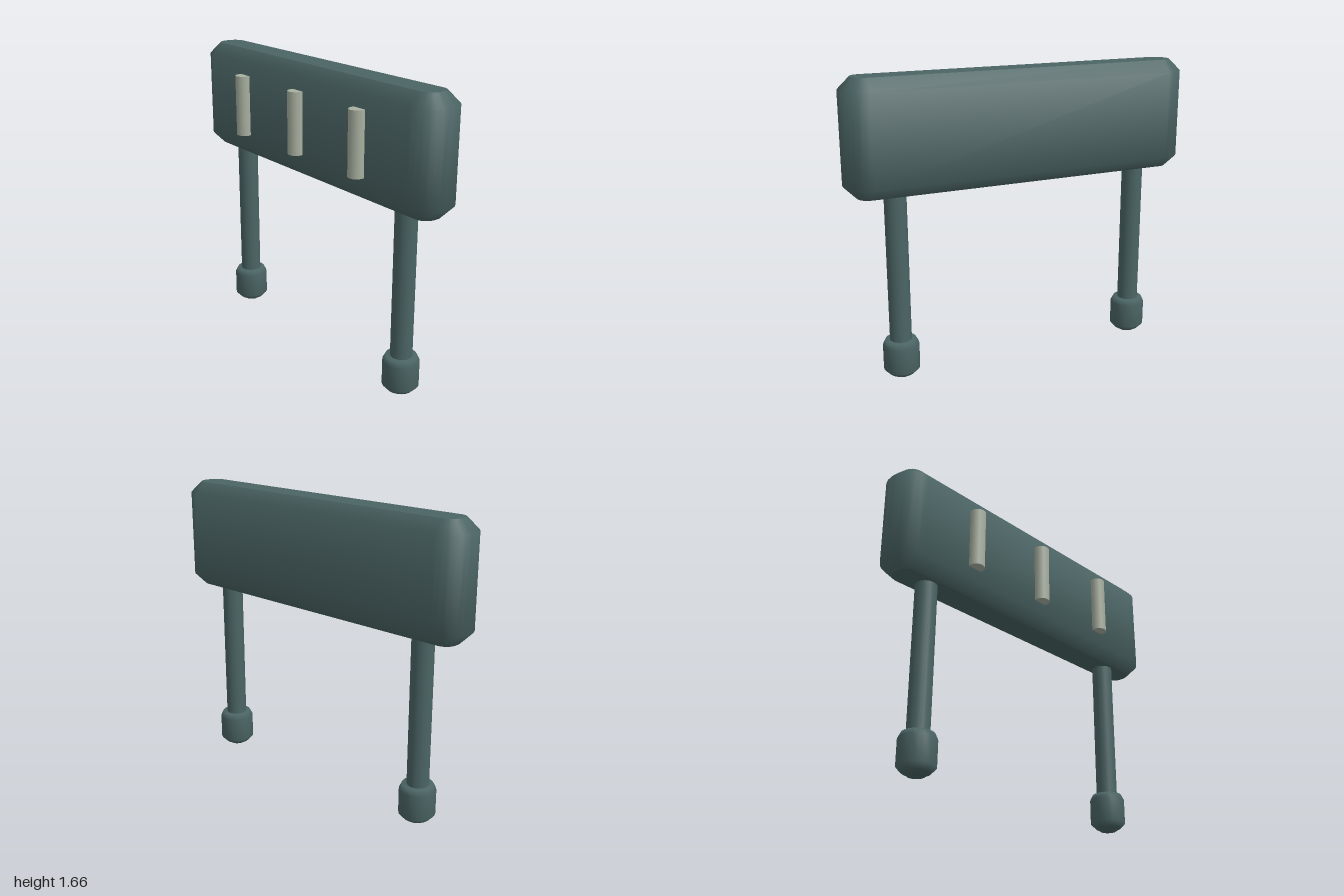
import * as THREE from 'three';

const frameGreen = new THREE.MeshStandardMaterial({ color: 0x4b6464 });
const paleGrey = new THREE.MeshStandardMaterial({ color: 0xa8b0a0 });
frameGreen.name = 'frameGreen';
paleGrey.name = 'paleGrey';

function add(parent, name, geometry, material, x, y, z) {
  const mesh = new THREE.Mesh(geometry, material);
  mesh.name = name;
  mesh.position.set(x, y, z);
  parent.add(mesh);
  return mesh;
}

// Rounded-rectangle block with bevelled top and bottom; sides smooth, caps flat
function bevelledBlock(halfX, halfZ, radius, bottom, top, bevel) {
  const outline = [];
  const steps = 6;
  [[1, 1], [-1, 1], [-1, -1], [1, -1]].forEach(([sx, sz], corner) => {
    for (let k = 0; k <= steps; k++) {
      const a = (corner + k / steps) * Math.PI / 2;
      outline.push({ cx: sx * (halfX - radius), cz: sz * (halfZ - radius), nx: Math.cos(a), nz: Math.sin(a) });
    }
  });
  const n = outline.length;
  const positions = [], normals = [], index = [];

  // Each ring: height, inset, upward tilt of the normal
  const rings = [
    [bottom, bevel, -0.707], [bottom + bevel, 0, -0.38],
    [top - bevel, 0, 0.38], [top, bevel, 0.707],
  ];
  const ring = (y, inset, tilt) => {
    const flat = Math.sqrt(1 - tilt * tilt);
    for (const p of outline) {
      positions.push(p.cx + p.nx * (radius - inset), y, p.cz + p.nz * (radius - inset));
      normals.push(p.nx * flat, tilt, p.nz * flat);
    }
  };
  rings.forEach((r) => ring(...r));
  for (let r = 0; r < rings.length - 1; r++) {
    for (let i = 0; i < n; i++) {
      const a = r * n + i, b = r * n + (i + 1) % n;
      index.push(a, a + n, b, b, a + n, b + n);
    }
  }

  // Flat caps
  for (const [y, dir] of [[bottom, -1], [top, 1]]) {
    const start = positions.length / 3;
    ring(y, bevel, dir);
    positions.push(0, y, 0);
    normals.push(0, dir, 0);
    for (let i = 0; i < n; i++) {
      const a = start + i, b = start + (i + 1) % n;
      if (dir > 0) index.push(start + n, b, a);
      else index.push(start + n, a, b);
    }
  }
  const g = new THREE.BufferGeometry();
  g.setAttribute('position', new THREE.Float32BufferAttribute(positions, 3));
  g.setAttribute('normal', new THREE.Float32BufferAttribute(normals, 3));
  g.setIndex(index);
  return g;
}

export function createModel() {
  const model = new THREE.Group();
  model.name = 'postMountedPanel';
  const z = -0.03;

  // Main panel
  add(model, 'panel', bevelledBlock(1, 0.14, 0.13, 1.04, 1.665, 0.065), frameGreen, 0, 0, z);

  // Vertical bars set into the front face
  const bar = new THREE.CylinderGeometry(0.046, 0.046, 0.35, 12);
  for (const x of [-0.517, 0, 0.517]) add(model, 'frontBar', bar, paleGrey, x, 1.355, 0.124);

  // Posts and their bulbous feet
  const post = new THREE.CylinderGeometry(0.06, 0.06, 0.88, 20);
  const footProfile = [
    [0, 0], [0.045, 0], [0.06, 0.012], [0.072, 0.016], [0.1, 0.045],
    [0.1, 0.185], [0.085, 0.215], [0, 0.215],
  ].map(([r, y]) => new THREE.Vector2(r, y));
  const foot = new THREE.LatheGeometry(footProfile, 20);
  for (const side of [-1, 1]) {
    const leg = new THREE.Group();
    leg.name = side > 0 ? 'leftLeg' : 'rightLeg';
    leg.position.set(side * 0.73, 0, z);
    add(leg, 'post', post, frameGreen, 0, 0.62, 0);
    add(leg, 'foot', foot, frameGreen, 0, 0, 0);
    model.add(leg);
  }
  return model;
}
